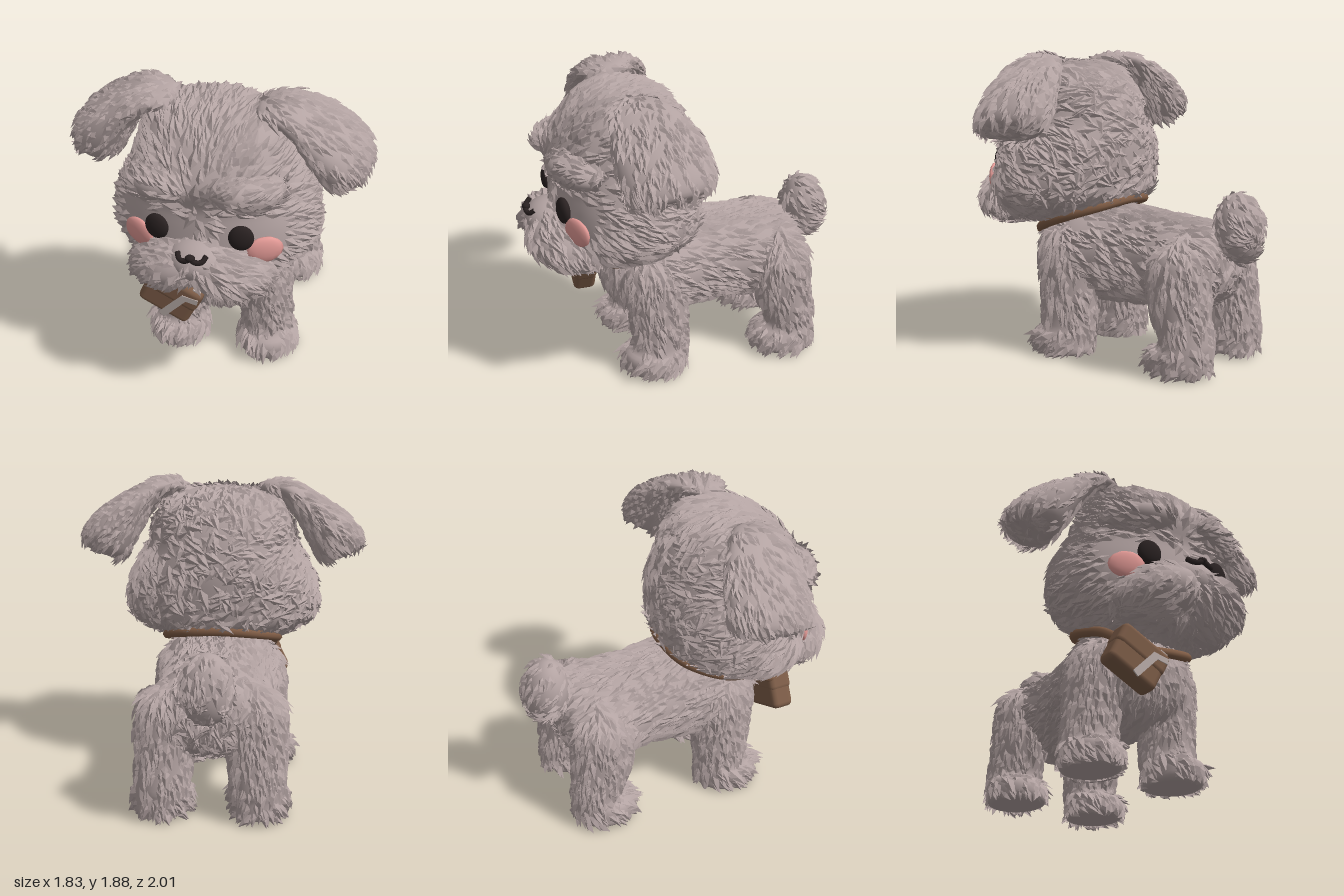
import * as THREE from 'three';
import { mergeGeometries } from 'three/addons/utils/BufferGeometryUtils.js';
import { RoundedBoxGeometry } from 'three/addons/geometries/RoundedBoxGeometry.js';

const V = (x, y, z) => new THREE.Vector3(x, y, z);
let seed = 7;
const rnd = () => (seed = (seed * 16807) % 2147483647) / 2147483647;

const material = (name, color, extra = {}) => {
  const m = new THREE.MeshStandardMaterial({ color, ...extra });
  m.name = name;
  return m;
};

// Smooth loft through elliptical sections { c: centre, a, b: half axes }
function loft(sections) {
  const curve = k => new THREE.CatmullRomCurve3(sections.map(s => s[k]), false, 'catmullrom', 0.5);
  const c = curve('c'), a = curve('a'), b = curve('b');
  return (u, v) => {
    const t = v * Math.PI * 2;
    return c.getPoint(u).addScaledVector(a.getPoint(u), Math.cos(t)).addScaledVector(b.getPoint(u), Math.sin(t));
  };
}
// Rows of [y, centre x, half width, back z, front z], from the bottom up
const loftY = rows => loft(rows.map(([y, x, w, zb, zf]) => ({
  c: V(x, y, (zb + zf) / 2), a: V(w, 0, 0), b: V(0, 0, (zf - zb) / 2) })));
// Rows of [z, half width, bottom y, top y], from the front back
const loftZ = rows => loft(rows.map(([z, w, y0, y1]) => ({
  c: V(0, (y0 + y1) / 2, z), a: V(0, (y1 - y0) / 2, 0), b: V(-w, 0, 0) })));
const ellipsoid = (c, r, rot = [0, 0, 0]) => {
  const e = new THREE.Euler(...rot);
  return (u, v) => {
    const s = Math.sin(Math.PI * u), t = v * Math.PI * 2;
    return V(r[0] * s * Math.cos(t), -r[1] * Math.cos(Math.PI * u), r[2] * s * Math.sin(t)).applyEuler(e).add(V(...c));
  };
};
const mirrored = fn => (u, v) => fn(u, 1 - v).multiply(V(-1, 1, 1));

// Smooth closed skin over a surface function
function skin(fn, nu, nv) {
  const pos = [], idx = [];
  for (let i = 0; i <= nu; i++) for (let j = 0; j < nv; j++) pos.push(...fn(i / nu, j / nv).toArray());
  for (let i = 0; i < nu; i++) for (let j = 0; j < nv; j++) {
    const a = i * nv + j, d = i * nv + (j + 1) % nv;
    idx.push(a, a + nv, d, a + nv, d + nv, d);
  }
  const g = new THREE.BufferGeometry();
  g.setAttribute('position', new THREE.Float32BufferAttribute(pos, 3));
  g.setIndex(idx);
  g.computeVertexNormals();
  return g.toNonIndexed();
}

// Broad pointed tufts scattered evenly over a surface, combed along flow(p)
function tufts(fn, flow, { density = 600, length = 0.1, bare = () => false }) {
  const e = 0.004, pos = [];
  const normalAt = (u, v) => fn(u + e, v).sub(fn(u - e, v)).cross(fn(u, v + e).sub(fn(u, v - e)));
  let max = 0, sum = 0;
  for (let i = 0; i < 20; i++) for (let j = 0; j < 20; j++) {
    const l = normalAt(0.01 + 0.98 * (i + 0.5) / 20, (j + 0.5) / 20).length();
    max = Math.max(max, l);
    sum += l / 400;
  }
  const count = Math.round(sum / (4 * e * e) * density);
  for (let k = 0, tries = 0; k < count && tries < count * 30; tries++) {
    const u = 0.01 + 0.98 * rnd(), v = rnd(), n = normalAt(u, v), size = n.length();
    if (rnd() * max > size || size < 1e-9) continue;
    k++;
    n.normalize();
    const p = fn(u, v);
    if (bare(p) || (p.y < 0.1 && n.y < -0.6)) continue;
    const f = flow(p).normalize().add(V(rnd() - 0.5, rnd() - 0.5, rnd() - 0.5).multiplyScalar(0.6));
    f.addScaledVector(n, -f.dot(n)).normalize();
    const s = n.clone().cross(f), len = length * (0.7 + 0.6 * rnd()), w = len * 0.26, h = len * (0.03 + 0.12 * rnd());
    const at = (x, y, z) => p.clone().addScaledVector(f, x).addScaledVector(s, y).addScaledVector(n, z);
    const L = at(len * 0.1, w, -0.004), R = at(len * 0.1, -w, -0.004), B = at(-len * 0.35, 0, -0.006);
    const M = at(len * 0.3, 0, h + 0.006), T = at(len * 0.9, 0, h);
    for (const q of [R, T, M, M, T, L, R, M, B, B, M, L]) pos.push(q.x, Math.max(q.y, 0.005), q.z);
  }
  const g = new THREE.BufferGeometry();
  g.setAttribute('position', new THREE.Float32BufferAttribute(pos, 3));
  g.computeVertexNormals();
  return g;
}

export function createModel() {
  seed = 7;
  const model = new THREE.Group();
  const fur = material('grey fur', 0xb3a3a2, { side: THREE.DoubleSide });
  const black = material('eye black', 0x292121);
  const pink = material('blush pink', 0xe39a96);
  const brown = material('bag brown', 0x7c5c47);
  const tan = material('strap brown', 0x7f5c45);
  const pale = material('pale trim', 0xb9aca8);

  const add = (name, geo, mat) => {
    const m = new THREE.Mesh(geo, mat);
    m.name = name;
    model.add(m);
    return m;
  };
  const furry = (name, fn, flow, opts = {}, nu = 28, nv = 32) =>
    add(name, mergeGeometries([skin(fn, nu, nv), tufts(fn, flow, opts)]), fur);
  const furryPair = (name, fn, flow, opts) => {
    furry(name + 'Left', fn, flow, opts);
    furry(name + 'Right', mirrored(fn), p => flow(V(-p.x, p.y, p.z)).multiply(V(-1, 1, 1)), opts);
  };

  // Torso
  furry('body', loftZ([[0.52, 0, 0.62, 0.62], [0.48, 0.2, 0.46, 0.8], [0.38, 0.33, 0.37, 0.89], [0.2, 0.39, 0.33, 0.94],
    [0, 0.36, 0.325, 0.92], [-0.25, 0.325, 0.335, 0.9], [-0.5, 0.37, 0.345, 0.875], [-0.68, 0.34, 0.4, 0.85],
    [-0.76, 0.2, 0.5, 0.77], [-0.775, 0, 0.64, 0.64]]), p => p.z > 0.3 ? V(0, -1, -0.2) : V(0, -0.4, -1));

  // Legs with forward paws
  const down = p => p.y < 0.17 ? V(0, -0.6, 0.5) : V(0, -1, -0.1);
  furryPair('frontLeg', loftY([[0.012, 0.287, 0, 0.25, 0.25], [0.014, 0.287, 0.16, 0.07, 0.42], [0.08, 0.29, 0.18, 0.055, 0.455],
    [0.14, 0.29, 0.178, 0.055, 0.445], [0.2, 0.28, 0.158, 0.05, 0.39], [0.4, 0.268, 0.157, 0.04, 0.405],
    [0.6, 0.245, 0.168, 0.025, 0.44], [0.76, 0.21, 0.15, 0.04, 0.42], [0.86, 0.19, 0, 0.22, 0.22]]), down);
  furryPair('hindLeg', loftY([[0.03, 0.287, 0, -0.6, -0.6], [0.032, 0.287, 0.16, -0.78, -0.43], [0.09, 0.29, 0.178, -0.8, -0.4],
    [0.15, 0.29, 0.175, -0.8, -0.425], [0.21, 0.285, 0.16, -0.805, -0.5], [0.38, 0.275, 0.17, -0.785, -0.43],
    [0.55, 0.265, 0.18, -0.77, -0.4], [0.72, 0.245, 0.165, -0.74, -0.43], [0.84, 0.21, 0, -0.6, -0.6]]), down);

  // Round tail
  furry('tail', ellipsoid([0, 0.86, -0.835], [0.155, 0.208, 0.138], [0.12, 0, 0]), p => V(p.x, 0.75 - p.y, -0.25), { length: 0.075 });

  // Head, with smooth skin around the eyes and cheeks
  const bareFace = p => p.z > 0.55 && p.y > 1.06 && p.y < 1.29 && Math.abs(p.x) > 0.1 && Math.abs(p.x) < 0.46;
  const radiate = p => V(p.x, p.y - 1.3, p.z - 0.9);
  furry('head', loftY([[0.8, 0, 0, 0.52, 0.52], [0.82, 0, 0.27, 0.28, 0.76], [0.88, 0, 0.46, 0.1, 0.81], [0.97, 0, 0.575, -0.045, 0.82],
    [1.08, 0, 0.615, -0.075, 0.82], [1.2, 0, 0.6, -0.085, 0.81], [1.32, 0, 0.55, -0.085, 0.8], [1.45, 0, 0.475, -0.065, 0.83],
    [1.58, 0, 0.445, -0.02, 0.77], [1.69, 0, 0.39, 0.055, 0.68], [1.78, 0, 0.27, 0.17, 0.55], [1.815, 0, 0, 0.36, 0.36]]),
  radiate, { bare: bareFace, length: 0.11 }, 40, 48);

  // Muzzle, jowls and drooping brows
  const bareNose = p => Math.abs(p.x) < 0.11 && p.y > 1.06 && p.z > 0.86;
  const whisker = p => V(p.x * 2, -0.25, -0.1);
  furry('muzzle', ellipsoid([0, 1.025, 0.815], [0.18, 0.125, 0.165]), whisker, { bare: bareNose, length: 0.075 });
  furryPair('jowl', ellipsoid([0.14, 0.96, 0.72], [0.28, 0.16, 0.262], [0, 0.1, -0.28]), p => V(0.6, -0.5, -0.2), { bare: bareNose });
  furryPair('brow', ellipsoid([0.23, 1.44, 0.69], [0.23, 0.105, 0.17], [0, 0.35, -0.1]), p => V(0.8, 0.5, -0.3), { length: 0.085 });

  // Floppy ears: [x, y, z, half thickness, half width]
  const earRows = [[0.22, 1.79, 0.38, 0, 0], [0.27, 1.805, 0.38, 0.04, 0.11], [0.4, 1.795, 0.36, 0.06, 0.18], [0.535, 1.7, 0.32, 0.095, 0.235],
    [0.655, 1.58, 0.295, 0.14, 0.262], [0.735, 1.475, 0.28, 0.155, 0.25], [0.765, 1.415, 0.28, 0.125, 0.18], [0.77, 1.405, 0.28, 0, 0]];
  const ear = loft(earRows.map(([x, y, z, t, w], i) => {
    const p = earRows[Math.max(i - 1, 0)], q = earRows[Math.min(i + 1, earRows.length - 1)];
    const d = V(q[0] - p[0], q[1] - p[1], 0).normalize();
    return { c: V(x, y, z), a: V(d.y, -d.x, 0).multiplyScalar(t), b: V(0, -0.12 * w, w) };
  }));
  furryPair('ear', ear, p => V(0.7, -0.75, (p.z - 0.3) * 0.8), { length: 0.085 });

  // Eyes, blush and curled mouth
  for (const s of [1, -1]) {
    const side = s > 0 ? 'Left' : 'Right';
    const eye = add('eye' + side, new THREE.SphereGeometry(1, 20, 14), black);
    eye.scale.set(0.073, 0.08, 0.035);
    eye.position.set(0.245 * s, 1.18, 0.787);
    eye.rotation.y = 0.2 * s;
    const cheek = add('blush' + side, new THREE.SphereGeometry(1, 12, 8), pink);
    cheek.scale.set(0.108, 0.085, 0.03);
    cheek.position.set(0.37 * s, 1.09, 0.735);
    cheek.rotation.y = 0.47 * s;
    const curl = new THREE.CatmullRomCurve3([V(0, 1.12, 0.968), V(0.03 * s, 1.1, 0.968), V(0.065 * s, 1.1, 0.955), V(0.083 * s, 1.125, 0.925)]);
    add('mouth' + side, new THREE.TubeGeometry(curl, 10, 0.016, 6), black);
  }
  const nose = add('nose', new THREE.SphereGeometry(1, 12, 8), black);
  nose.scale.set(0.03, 0.02, 0.025);
  nose.position.set(0, 1.12, 0.963);

  // Satchel with flap and pale trim
  const bag = new THREE.Group();
  bag.name = 'satchel';
  const piece = (name, geo, mat, x, y, z, rot = 0) => {
    const m = new THREE.Mesh(geo, mat);
    m.name = name;
    m.position.set(x, y, z);
    m.rotation.z = rot;
    bag.add(m);
  };
  piece('bagBody', new RoundedBoxGeometry(0.34, 0.26, 0.14, 2, 0.035), brown, 0, 0, 0);
  piece('bagFlap', new RoundedBoxGeometry(0.35, 0.15, 0.15, 2, 0.035), brown, 0, 0.06, 0.003);
  piece('bagTrim', new THREE.BoxGeometry(0.045, 0.21, 0.009), pale, 0.045, -0.03, 0.079, -0.31);
  piece('bagCornerTrim', new THREE.BoxGeometry(0.1, 0.035, 0.009), pale, 0.11, 0.07, 0.079, 0.26);
  piece('bagTopTrim', new THREE.BoxGeometry(0.05, 0.008, 0.12), pale, 0.12, 0.134, 0);
  bag.position.set(-0.228, 0.58, 0.6);
  bag.rotation.z = -0.47;
  model.add(bag);

  // Strap looping round the neck
  const loop = new THREE.CatmullRomCurve3([V(-0.09, 0.67, 0.6), V(0.08, 0.71, 0.56), V(0.29, 0.79, 0.42), V(0.35, 0.87, 0.2),
    V(0.23, 0.94, 0), V(0, 0.965, -0.05), V(-0.23, 0.94, 0), V(-0.36, 0.87, 0.2), V(-0.34, 0.8, 0.42), V(-0.32, 0.7, 0.58)]);
  add('strap', new THREE.TubeGeometry(loop, 48, 0.03, 8), tan);
  return model;
}
